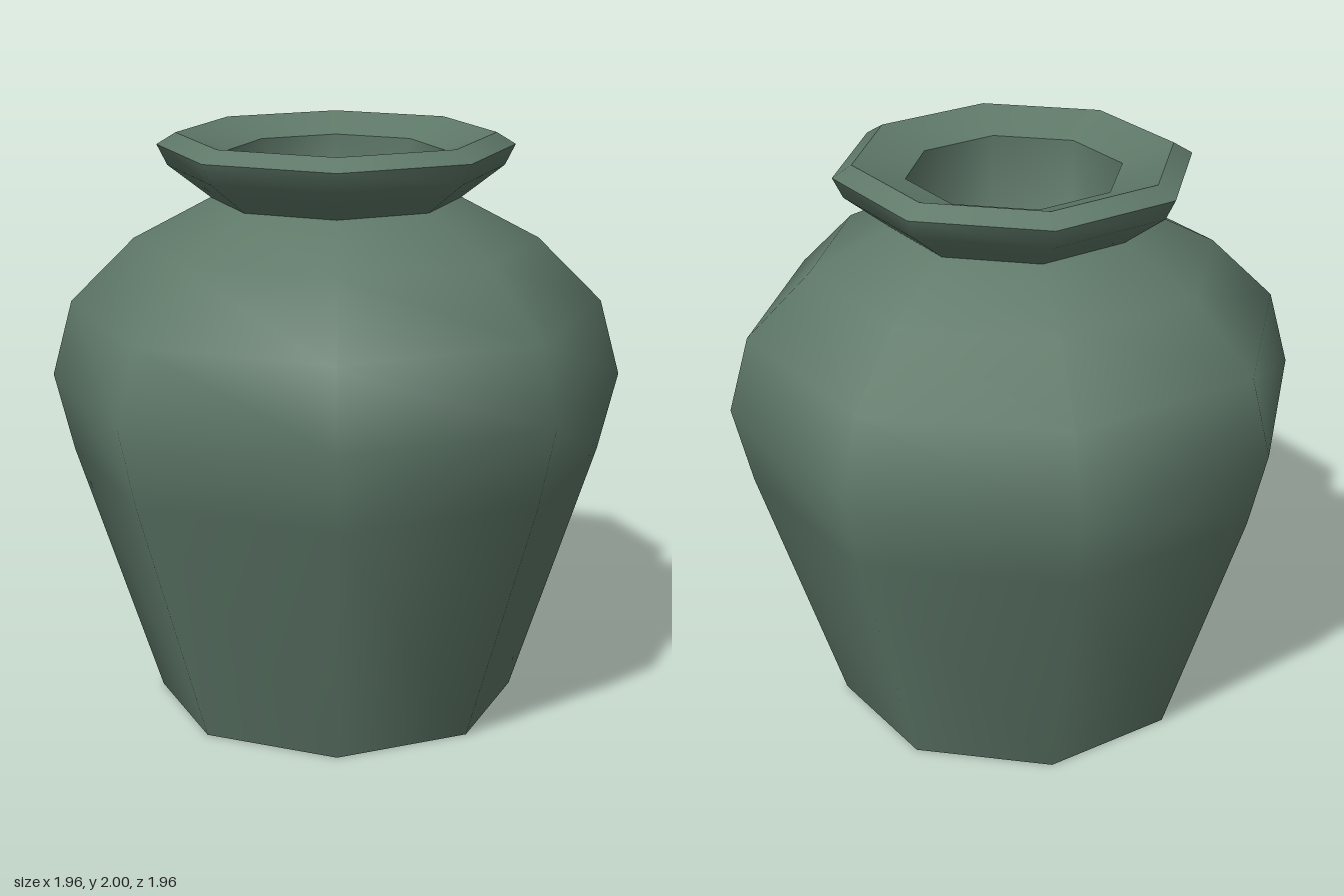
import * as THREE from 'three';

const SIDES = 8;

export function createModel() {
  const glaze = new THREE.MeshStandardMaterial({ color: 0x5e7868 });
  glaze.name = 'greenGlaze';
  const pot = new THREE.Group();
  pot.name = 'pot';

  // Each profile runs base -> outside -> rim -> inside, so faces point outward.
  // Separate bands keep the edges between them sharp.
  const addBand = (name, profile) => {
    const points = profile.map(([r, y]) => new THREE.Vector2(r, y));
    const mesh = new THREE.Mesh(new THREE.LatheGeometry(points, SIDES), glaze);
    mesh.name = name;
    pot.add(mesh);
  };

  addBand('base', [[0, 0], [0.625, 0]]);
  addBand('body', [[0.625, 0], [0.915, 0.89], [0.98, 1.16], [0.91, 1.42], [0.69, 1.64], [0.425, 1.78]]);
  addBand('flaredLip', [[0.425, 1.78], [0.57, 1.89], [0.605, 1.96]]);
  addBand('rimBevel', [[0.605, 1.96], [0.54, 2]]);
  addBand('mouthSlope', [[0.54, 2], [0.365, 1.94]]);
  // Throat and its floor share smooth normals
  addBand('throat', [[0.365, 1.94], [0.36, 1.35], [0, 1.3]]);

  return pot;
}
